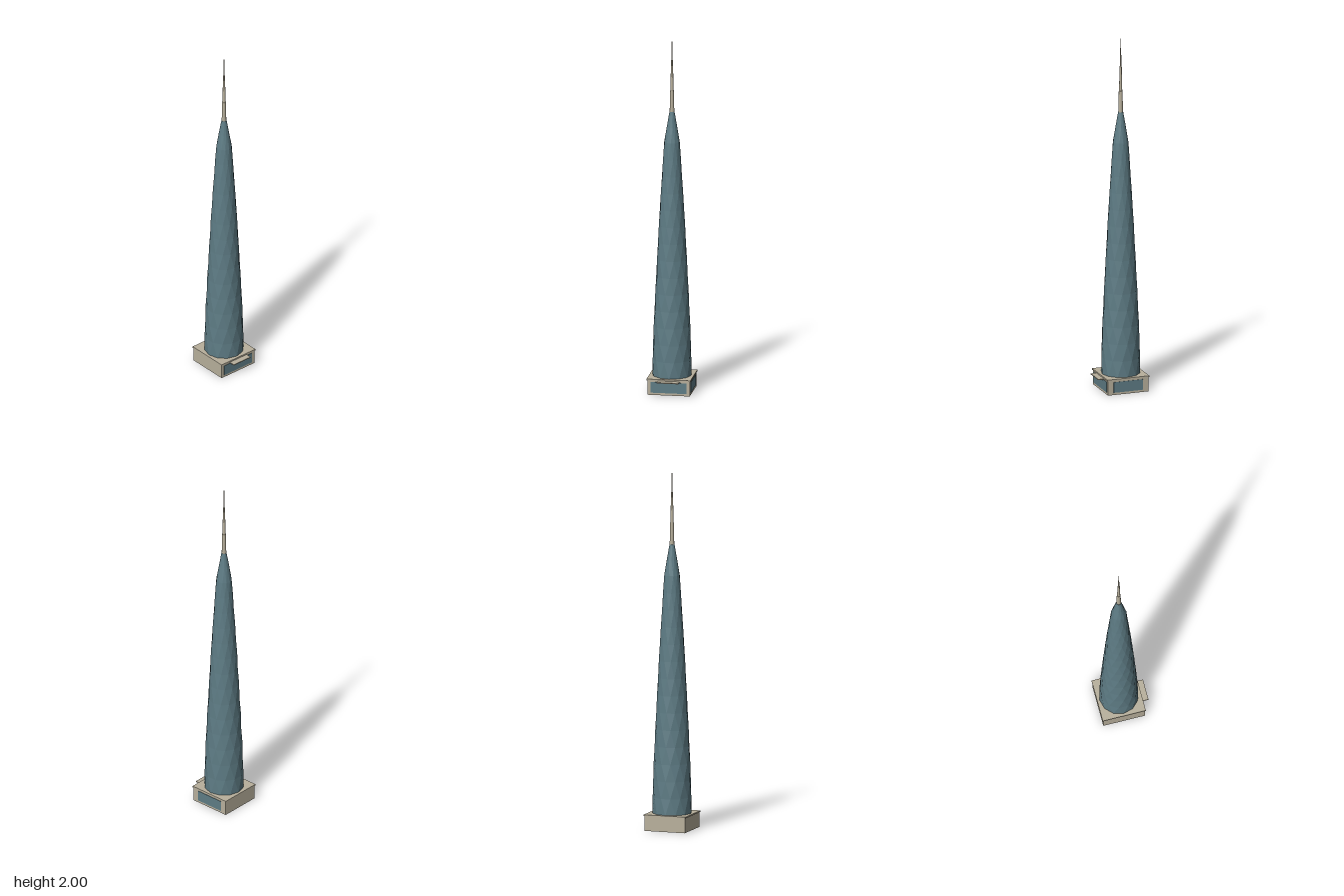
import * as THREE from 'three';

const stone = new THREE.MeshStandardMaterial({ name: 'stone', color: 0xb8b09c });
const glass = new THREE.MeshStandardMaterial({ name: 'glass', color: 0x5e7c85, flatShading: true });

const SIDES = 12, ROWS = 14;

// Tower radius by height: gentle bulge up the shaft, then a steep crown
const PROFILE = [[0.085, 0.108], [0.3, 0.104], [0.6, 0.09], [1.0, 0.069], [1.41, 0.043], [1.58, 0.014]];
function radiusAt(y) {
  for (let i = 1; i < PROFILE.length; i++) {
    const [y0, r0] = PROFILE[i - 1], [y1, r1] = PROFILE[i];
    if (y <= y1) return r0 + (r1 - r0) * (y - y0) / (y1 - y0);
  }
  return PROFILE[PROFILE.length - 1][1];
}

// Faceted skin: each ring is turned half a step, joined by alternating triangles
function diagridGeometry() {
  const heights = [];
  for (let i = 0; i <= ROWS; i++) heights.push(0.085 + (1.41 - 0.085) * i / ROWS);
  heights.push(1.495, 1.58);
  const pos = [], index = [];
  heights.forEach((y, row) => {
    const r = radiusAt(y);
    for (let i = 0; i < SIDES; i++) {
      const a = (i + (row % 2) / 2) / SIDES * Math.PI * 2;
      pos.push(r * Math.sin(a), y, r * Math.cos(a));
    }
  });
  for (let row = 0; row < heights.length - 1; row++) {
    const lo = row * SIDES, hi = lo + SIDES, odd = row % 2;
    for (let i = 0; i < SIDES; i++) {
      const n = (i + 1) % SIDES;
      if (odd) index.push(lo + i, lo + n, hi + n, lo + i, hi + n, hi + i);
      else index.push(lo + i, lo + n, hi + i, lo + n, hi + n, hi + i);
    }
  }
  // flat cap under the spire
  const last = (heights.length - 1) * SIDES;
  for (let i = 1; i < SIDES - 1; i++) index.push(last, last + i, last + i + 1);
  const g = new THREE.BufferGeometry();
  g.setAttribute('position', new THREE.Float32BufferAttribute(pos, 3));
  g.setIndex(index);
  const flat = g.toNonIndexed();
  flat.computeVertexNormals();
  return flat;
}

export function createModel() {
  const model = new THREE.Group();
  model.name = 'skyscraper';
  const building = new THREE.Group();
  building.name = 'building';
  building.position.z = -0.016;
  model.add(building);

  const add = (name, geometry, material, x = 0, y = 0, z = 0) => {
    const mesh = new THREE.Mesh(geometry, material);
    mesh.name = name;
    mesh.position.set(x, y, z);
    building.add(mesh);
  };

  // Podium with a thin overhanging roof
  add('podium', new THREE.BoxGeometry(0.236, 0.082, 0.236), stone, 0, 0.041, 0);
  add('podiumRoof', new THREE.BoxGeometry(0.244, 0.008, 0.244), stone, 0, 0.086, 0);

  // Glazing on the front and one side
  add('frontGlazing', new THREE.BoxGeometry(0.2, 0.06, 0.004), glass, 0, 0.043, 0.118);
  add('sideGlazing', new THREE.BoxGeometry(0.004, 0.06, 0.17), glass, 0.118, 0.043, 0);

  // Entrance canopy
  add('canopy', new THREE.BoxGeometry(0.12, 0.005, 0.04), stone, 0, 0.078, 0.133);

  add('tower', diagridGeometry(), glass);

  // Spire in three stepped, tapering stages
  const stages = [[1.575, 1.70, 0.013, 0.0105], [1.70, 1.84, 0.009, 0.006], [1.84, 2.0, 0.005, 0.0008]];
  for (const [y0, y1, r0, r1] of stages) {
    add('spireStage', new THREE.CylinderGeometry(r1, r0, y1 - y0, 12), stone, 0, (y0 + y1) / 2, 0);
  }
  return model;
}
